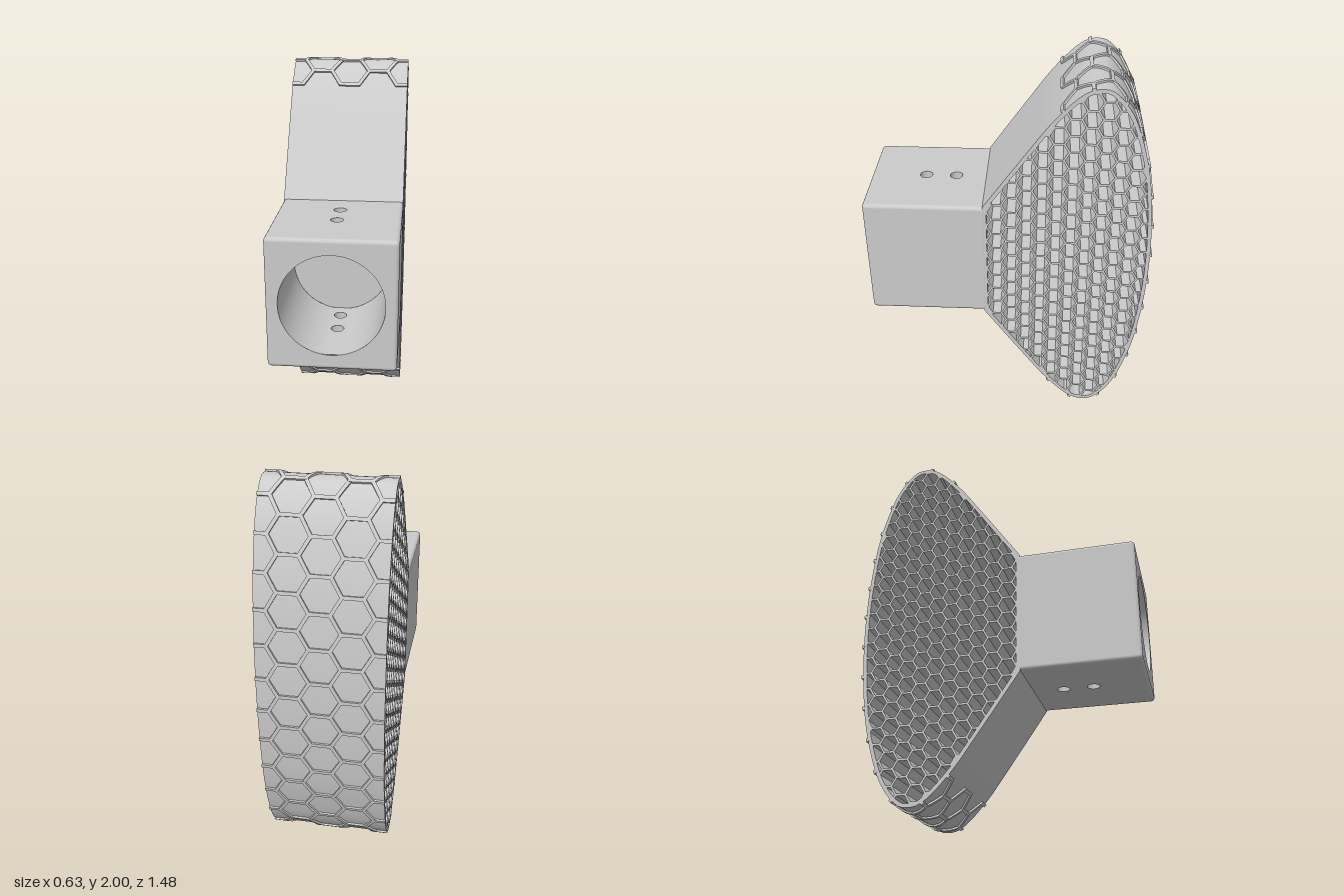
import * as THREE from 'three';
import { mergeGeometries, toCreasedNormals } from 'three/addons/utils/BufferGeometryUtils.js';
import { RoundedBoxGeometry } from 'three/addons/geometries/RoundedBoxGeometry.js';

const W = 0.63;                                   // width along x
const FRONT = 0.74, BACK = 0.11, HALF_H = 0.333;  // socket block
const BORE_R = 0.256, BORE_FLOOR = 0.2;
const HOLES_Z = [0.29, 0.45], HOLE_R = 0.033;
const EDGE = 0.02;

const grey = new THREE.MeshStandardMaterial({ color: 0xcccccc });
const greyInside = new THREE.MeshStandardMaterial({ color: 0xcccccc, side: THREE.BackSide });

function add(parent, name, geometry, material = grey) {
  const mesh = new THREE.Mesh(geometry, material);
  mesh.name = name;
  parent.add(mesh);
  return mesh;
}

// Side profile (z, y) of the flared head: upper half, then mirrored about y = 1
function headCurve() {
  const upper = [[0.13, 1.335], [0.02, 1.495], [-0.1, 1.667], [-0.2, 1.807], [-0.3, 1.92],
    [-0.37, 1.975], [-0.43, 1.99], [-0.49, 1.975], [-0.56, 1.9], [-0.62, 1.78],
    [-0.685, 1.55], [-0.72, 1.28], [-0.732, 1]];
  const lower = upper.slice(0, -1).reverse().map(([z, y]) => [z, 2 - y]);
  const curve = new THREE.SplineCurve([...upper, ...lower].map(p => new THREE.Vector2(...p)));
  curve.arcLengthDivisions = 400;
  return curve;
}

// Flat-topped hexagon
function hexagon(cx, cy, r) {
  return Array.from({ length: 6 }, (_, k) => new THREE.Vector2(
    cx + r * Math.cos(k * Math.PI / 3), cy + r * Math.sin(k * Math.PI / 3)));
}

// Keep the part of a polygon at least `inset` inside each edge of a convex outline
function clipInside(poly, outline, inset) {
  outline.forEach((a, i) => {
    const b = outline[(i + 1) % outline.length];
    const n = new THREE.Vector2(a.y - b.y, b.x - a.x).normalize();
    const dist = p => n.dot(p) - n.dot(a) - inset;
    const out = [];
    poly.forEach((p, j) => {
      const q = poly[(j + 1) % poly.length], dp = dist(p), dq = dist(q);
      if (dp >= 0) out.push(p);
      if (dp * dq < 0) out.push(p.clone().lerp(q, dp / (dp - dq)));
    });
    poly = out;
  });
  return poly;
}

// Rim and honeycomb in one extrusion with the cells as holes
function honeycomb(curve) {
  const outline = curve.getSpacedPoints(160);
  const shape = new THREE.Shape(outline);
  const flat = 0.088, r = flat / Math.sqrt(3), wall = 0.011;
  for (let i = -7; i <= 7; i++) {
    for (let j = -13; j <= 13; j++) {
      const z = -0.32 + i * 1.5 * r, y = 1 + (j + (i & 1) / 2) * flat;
      const cell = clipInside(hexagon(z, y, r - wall / Math.sqrt(3)), outline, 0.02);
      if (cell.length > 2 && Math.abs(THREE.ShapeUtils.area(cell)) > 0.0003) {
        shape.holes.push(new THREE.Path(cell));
      }
    }
  }
  const depth = W - 0.002;
  const geo = new THREE.ExtrudeGeometry(shape, { depth, bevelEnabled: false });
  geo.translate(0, 0, -depth / 2).rotateY(-Math.PI / 2);
  return toCreasedNormals(geo, 0.4);
}

// Raised hexagonal ribs laid out flat as (x, arc length, height), then wrapped on the head
function outerRibs(curve) {
  const length = curve.getLength(), r = 0.102, flat = r * Math.sqrt(3);
  const ribs = [], v = new THREE.Vector3();
  const isBack = s => s > 0 && s < length && curve.getPointAt(s / length).x < -0.225;
  for (let i = -3; i <= 3; i++) {
    for (let j = -5; j <= 16; j++) {
      for (const deg of [30, 90, 150]) {
        const a = THREE.MathUtils.degToRad(deg);
        const x = i * 1.5 * r + Math.cos(a) * flat / 2;
        const s = 0.93 + (j + (i & 1) / 2) * flat + Math.sin(a) * flat / 2;
        const reach = Math.abs(Math.cos(a)) * r / 2;
        if (Math.abs(x) > W / 2 + 0.03 || !isBack(s - reach) || !isBack(s + reach)) continue;
        const rib = new THREE.BoxGeometry(r + 0.008, 0.018, 0.014, 4, 1, 1);
        rib.translate(0, 0, 0.003).rotateZ(a + Math.PI / 2).translate(x, s, 0);
        const pos = rib.attributes.position;
        for (let k = 0; k < pos.count; k++) {
          v.fromBufferAttribute(pos, k);
          const u = THREE.MathUtils.clamp(v.y / length, 0, 1);
          const p = curve.getPointAt(u), t = curve.getTangentAt(u);
          pos.setXYZ(k, THREE.MathUtils.clamp(v.x, -W / 2, W / 2),
            p.y - t.x * v.z, p.x + t.y * v.z);
        }
        rib.computeVertexNormals();
        ribs.push(rib);
      }
    }
  }
  return mergeGeometries(ribs);
}

function rectangle(x0, y0, x1, y1) {
  return new THREE.Shape([[x0, y0], [x1, y0], [x1, y1], [x0, y1]].map(p => new THREE.Vector2(...p)));
}

function circlePath(x, y, r) {
  return new THREE.Path().absarc(x, y, r, 0, Math.PI * 2, true);
}

// Rounded block without its flat top, bottom and front panels
function blockShell() {
  const depth = FRONT - BACK;
  const geo = new RoundedBoxGeometry(W, HALF_H * 2, depth, 3, EDGE);
  const pos = geo.attributes.position, nor = geo.attributes.normal;
  const keepPos = [], keepNor = [];
  for (let i = 0; i < pos.count; i += 3) {
    const corners = [i, i + 1, i + 2];
    const onTopOrBottom = corners.every(k => Math.abs(pos.getY(k)) > HALF_H - 1e-5);
    const onFront = corners.every(k => pos.getZ(k) > depth / 2 - 1e-5);
    if (onTopOrBottom || onFront) continue;
    for (const k of corners) {
      keepPos.push(pos.getX(k), pos.getY(k), pos.getZ(k));
      keepNor.push(nor.getX(k), nor.getY(k), nor.getZ(k));
    }
  }
  const shell = new THREE.BufferGeometry();
  shell.setAttribute('position', new THREE.Float32BufferAttribute(keepPos, 3));
  shell.setAttribute('normal', new THREE.Float32BufferAttribute(keepNor, 3));
  return shell.translate(0, 0, (FRONT + BACK) / 2);
}

// Drilled panel, its screw holes and the strip of bore wall they break into
function drilledSide() {
  const side = new THREE.Group();
  side.name = 'drilledSide';
  const x = W / 2 - EDGE;
  const panel = rectangle(-x, -FRONT + EDGE, x, -BACK - EDGE);
  const strip = BORE_R * Math.sin(Math.PI / 18);
  const bore = rectangle(-strip, -FRONT, strip, -BORE_FLOOR);
  for (const z of HOLES_Z) {
    panel.holes.push(circlePath(0, -z, HOLE_R));
    bore.holes.push(circlePath(0, -z, HOLE_R));
    const height = HALF_H - BORE_R + 0.003;
    const tube = new THREE.CylinderGeometry(HOLE_R, HOLE_R, height, 24, 1, true);
    add(side, 'screwHole', tube.translate(0, HALF_H - height / 2, z), greyInside);
  }
  add(side, 'panel', new THREE.ShapeGeometry(panel, 24).rotateX(-Math.PI / 2).translate(0, HALF_H, 0));
  const wall = new THREE.ShapeGeometry(bore, 24).rotateX(-Math.PI / 2);
  const pos = wall.attributes.position;
  for (let k = 0; k < pos.count; k++) pos.setY(k, Math.sqrt(BORE_R ** 2 - pos.getX(k) ** 2));
  add(side, 'boreStrip', wall, greyInside);
  return side;
}

function socketBlock() {
  const block = new THREE.Group();
  block.name = 'socketBlock';
  block.position.y = 1;
  add(block, 'blockShell', blockShell());

  // Front panel around the bore
  const x = W / 2 - EDGE, y = HALF_H - EDGE;
  const front = rectangle(-x, -y, x, y);
  front.holes.push(circlePath(0, 0, BORE_R));
  add(block, 'frontPanel', new THREE.ShapeGeometry(front, 48).translate(0, 0, FRONT));

  // Blind bore: two wall arcs and the floor
  const depth = FRONT - BORE_FLOOR, gap = Math.PI / 18;
  for (const start of [gap, Math.PI + gap]) {
    const arc = new THREE.CylinderGeometry(BORE_R, BORE_R, depth, 40, 1, true, start, Math.PI - 2 * gap);
    add(block, 'boreWall', arc.rotateX(Math.PI / 2).translate(0, 0, FRONT - depth / 2), greyInside);
  }
  add(block, 'boreFloor', new THREE.CircleGeometry(BORE_R, 48).translate(0, 0, BORE_FLOOR));

  // Drilled top and bottom
  for (const turn of [0, Math.PI]) {
    const side = drilledSide();
    side.rotation.z = turn;
    block.add(side);
  }
  return block;
}

export function createModel() {
  const model = new THREE.Group();
  model.name = 'honeycombHead';
  const curve = headCurve();
  add(model, 'honeycomb', honeycomb(curve));
  add(model, 'outerRibs', outerRibs(curve));
  model.add(socketBlock());
  return model;
}
